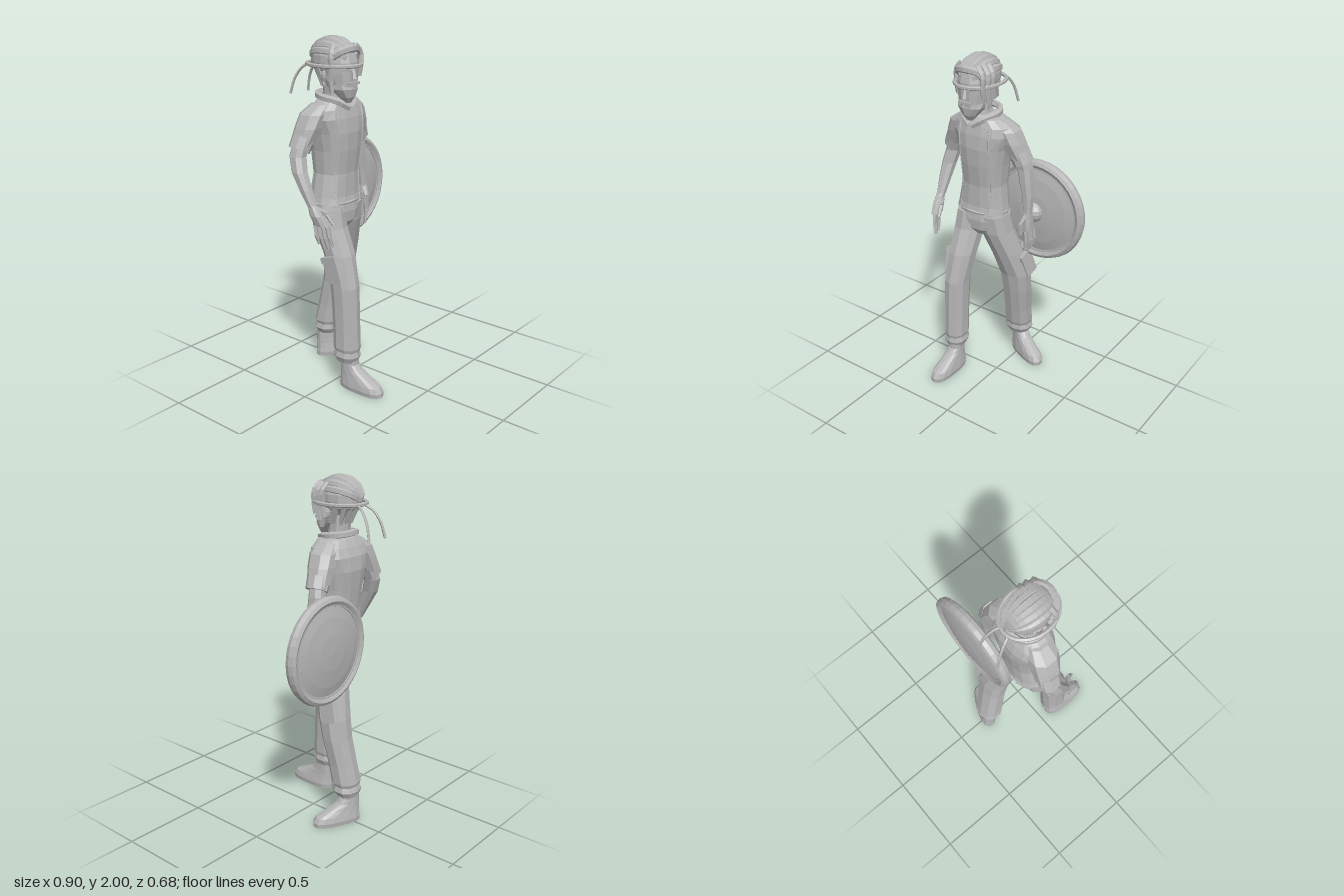
import * as THREE from 'three';

const clay = new THREE.MeshStandardMaterial({ color: 0xb6b6b6 });
clay.name = 'clay grey';
const V = (p) => new THREE.Vector3(...p);

export function createModel() {
  const model = new THREE.Group();
  model.name = 'figureWithShield';

  // Faceted mesh from any geometry
  function add(name, geo, parent = model) {
    const g = geo.index ? geo.toNonIndexed() : geo;
    g.computeVertexNormals();
    const m = new THREE.Mesh(g, clay);
    m.name = name;
    parent.add(m);
    return m;
  }

  // Closed skin over level rings [x, y, z, rx, rz]; e below 1 squares the rings
  function loft(sections, n = 8, e = 0.85) {
    const s = [...sections].sort((a, b) => a[1] - b[1]);
    const pos = [], idx = [];
    const pw = (v) => Math.sign(v) * Math.abs(v) ** e;
    for (const [x, y, z, rx, rz] of s)
      for (let i = 0; i < n; i++) {
        const a = ((i + 0.5) / n) * Math.PI * 2;
        pos.push(x + rx * pw(Math.cos(a)), y, z + rz * pw(Math.sin(a)));
      }
    const last = s.length - 1, low = s.length * n, high = low + 1;
    pos.push(...s[0].slice(0, 3), ...s[last].slice(0, 3));
    for (let i = 0; i < n; i++) {
      const j = (i + 1) % n;
      for (let k = 0; k < last; k++) {
        const b = k * n, t = b + n;
        idx.push(b + i, t + i, b + j, t + i, t + j, b + j);
      }
      idx.push(low, i, j, high, last * n + j, last * n + i);
    }
    const g = new THREE.BufferGeometry();
    g.setAttribute('position', new THREE.Float32BufferAttribute(pos, 3));
    g.setIndex(idx);
    return g;
  }

  // Tapered rod between two points
  function rod(name, a, b, ra, rb, n = 6) {
    const p = V(a), d = V(b).sub(p);
    const m = add(name, new THREE.CylinderGeometry(rb, ra, d.length(), n));
    m.position.copy(p).addScaledVector(d, 0.5);
    m.quaternion.setFromUnitVectors(new THREE.Vector3(0, 1, 0), d.normalize());
    return m;
  }
  const tube = (name, pts, r, seg = 10, n = 6, closed = false) =>
    add(name, new THREE.TubeGeometry(new THREE.CatmullRomCurve3(pts.map(V), closed), seg, r, n, closed));
  const ball = (name, p, sx, sy, sz, w = 12, h = 8) => {
    const g = new THREE.SphereGeometry(1, w, h);
    g.scale(sx, sy, sz);
    const m = add(name, g);
    m.position.set(...p);
    return m;
  };

  // Shirt
  const torso = [
    [-0.142, 1.08, -0.07, 0.16, 0.115], [-0.14, 1.12, -0.07, 0.152, 0.107],
    [-0.132, 1.25, -0.072, 0.132, 0.106], [-0.13, 1.38, -0.072, 0.142, 0.122],
    [-0.13, 1.48, -0.075, 0.16, 0.13], [-0.13, 1.56, -0.075, 0.19, 0.122],
    [-0.13, 1.61, -0.07, 0.18, 0.105], [-0.133, 1.65, -0.062, 0.125, 0.088],
    [-0.14, 1.67, -0.06, 0.07, 0.07],
  ];
  add('shirt', loft(torso, 16, 0.8));
  for (const s of [-1, 1])
    tube('shirtSeam', torso.slice(0, 7).map(([x, y, z, rx, rz]) =>
      [x + s * 0.1, y, z + rz * (1 - (0.1 / rx) ** 2.5) ** 0.4]), 0.005, 14, 4);
  tube('shirtHem', Array.from({ length: 16 }, (_, i) => {
    const a = (i / 16) * Math.PI * 2;
    return [-0.142 + 0.155 * Math.cos(a), 1.085, -0.07 + 0.112 * Math.sin(a)];
  }), 0.009, 24, 5, true);

  // Collar
  tube('collar', [[-0.15, 1.615, 0.045], [-0.215, 1.655, 0.01], [-0.235, 1.67, -0.07], [-0.2, 1.68, -0.14],
    [-0.14, 1.685, -0.16], [-0.08, 1.68, -0.14], [-0.045, 1.67, -0.07], [-0.075, 1.655, 0.01], [-0.14, 1.615, 0.045]], 0.02, 24, 5);

  // Sleeves with turned-up cuffs, mirrored about the body line
  for (const s of [-1, 1]) {
    const side = ([x, ...r]) => [-0.14 + s * x, ...r];
    add('sleeve', loft([[0.1, 1.64, -0.075, 0.05, 0.06], [0.15, 1.59, -0.085, 0.075, 0.08],
      [0.185, 1.52, -0.095, 0.07, 0.078], [0.225, 1.43, -0.11, 0.06, 0.066]].map(side)));
    const cuff = rod('sleeveCuff', side([0.215, 1.465, -0.105]), side([0.245, 1.4, -0.113]), 0.067, 0.064, 9);
    cuff.scale.x = 0.95;
  }

  // Forearms
  add('rightForearm', loft([[-0.36, 1.46, -0.105, 0.045, 0.048], [-0.392, 1.37, -0.115, 0.045, 0.048],
    [-0.408, 1.29, -0.09, 0.042, 0.046], [-0.41, 1.2, -0.045, 0.034, 0.038], [-0.408, 1.11, 0, 0.024, 0.03]]));
  add('leftForearm', loft([[0.085, 1.46, -0.105, 0.045, 0.048], [0.11, 1.37, -0.12, 0.045, 0.046],
    [0.125, 1.28, -0.115, 0.04, 0.042], [0.138, 1.2, -0.11, 0.032, 0.034], [0.142, 1.1, -0.105, 0.023, 0.028]]));

  // Hands: palm, four jointed fingers and a thumb
  function hand(name, wrist, knuckle, tip, spread, thumb) {
    add(name + 'Palm', loft([[...wrist, 0.022, 0.028],
      [wrist[0], (wrist[1] + knuckle[1]) / 2, (wrist[2] + knuckle[2]) / 2, 0.026, 0.042], [...knuckle, 0.022, 0.046]]));
    for (let i = 0; i < 4; i++) {
      const t = i - 1.5, off = V(spread).multiplyScalar(t);
      const a = V(knuckle).add(off), c = V(tip).addScaledVector(off, 1.15);
      c.y += 0.014 * Math.abs(t - 0.3);
      const b = a.clone().lerp(c, 0.5).add(new THREE.Vector3(Math.sign(wrist[0]) * 0.006, 0, 0));
      rod(name + 'Finger', a.toArray(), b.toArray(), 0.014, 0.012, 5);
      rod(name + 'Fingertip', b.toArray(), c.toArray(), 0.012, 0.007, 5);
    }
    rod(name + 'Thumb', [wrist[0], wrist[1] - 0.02, wrist[2] + 0.015], thumb[0], 0.019, 0.014, 5);
    rod(name + 'Thumb', thumb[0], thumb[1], 0.014, 0.008, 5);
  }
  hand('rightHand', [-0.408, 1.12, 0], [-0.4, 1.01, 0.055], [-0.385, 0.88, 0.075], [0.008, 0, 0.022],
    [[-0.36, 1.07, 0.06], [-0.35, 1.01, 0.1]]);
  hand('leftHand', [0.142, 1.11, -0.105], [0.148, 0.99, -0.115], [0.145, 0.845, -0.12], [-0.003, 0, 0.022],
    [[0.125, 1.04, -0.06], [0.125, 0.97, -0.055]]);

  // Trousers
  add('trouserSeat', loft([[-0.14, 1.1, -0.07, 0.148, 0.1], [-0.14, 1.03, -0.068, 0.16, 0.108],
    [-0.14, 0.97, -0.065, 0.13, 0.1], [-0.14, 0.93, -0.065, 0.05, 0.07]], 12));
  add('rightTrouserLeg', loft([[-0.215, 1.06, -0.06, 0.085, 0.095], [-0.222, 0.95, -0.04, 0.088, 0.095],
    [-0.225, 0.8, 0.03, 0.08, 0.088], [-0.235, 0.62, 0.078, 0.068, 0.084], [-0.236, 0.5, 0.085, 0.065, 0.082],
    [-0.237, 0.34, 0.092, 0.064, 0.08], [-0.238, 0.25, 0.095, 0.066, 0.08], [-0.238, 0.23, 0.095, 0.06, 0.074],
    [-0.238, 0.2, 0.095, 0.067, 0.08], [-0.238, 0.165, 0.095, 0.052, 0.064]], 10));
  add('leftTrouserLeg', loft([[-0.065, 1.06, -0.07, 0.085, 0.1], [-0.055, 0.95, -0.085, 0.092, 0.1],
    [-0.015, 0.8, -0.13, 0.092, 0.092], [0.015, 0.64, -0.175, 0.096, 0.082], [0.015, 0.52, -0.195, 0.09, 0.078],
    [0.002, 0.36, -0.228, 0.084, 0.077], [-0.006, 0.25, -0.25, 0.086, 0.078], [-0.006, 0.23, -0.252, 0.078, 0.07],
    [-0.006, 0.2, -0.256, 0.086, 0.077], [-0.006, 0.165, -0.26, 0.064, 0.062]], 10));

  // Thigh pockets with flaps
  const pocket = (name, x, y, z, tilt, roll) => {
    const g = new THREE.Group();
    g.name = name;
    add(name + 'Bag', new THREE.BoxGeometry(0.035, 0.15, 0.095), g);
    add(name + 'Flap', new THREE.BoxGeometry(0.045, 0.035, 0.105), g).position.y = 0.065;
    g.position.set(x, y, z);
    g.rotation.set(tilt, 0, roll);
    model.add(g);
  };
  pocket('rightPocket', -0.296, 0.72, 0.045, -0.3, 0.05);
  pocket('leftPocket', 0.088, 0.71, -0.19, 0.3, 0.15);

  // Shoes, drawn heel at the origin and toe toward +z
  const shoe = (name, x, z, yaw) => {
    const m = add(name, loft([[0, 0, 0.147, 0.054, 0.147], [0, 0.025, 0.147, 0.058, 0.148],
      [0, 0.055, 0.14, 0.053, 0.138], [0, 0.085, 0.108, 0.047, 0.104], [0, 0.12, 0.074, 0.043, 0.068],
      [0, 0.15, 0.062, 0.042, 0.053], [0, 0.21, 0.06, 0.042, 0.05]], 14, 0.75));
    m.position.set(x, 0, z);
    m.rotation.y = yaw;
  };
  shoe('rightShoe', -0.232, 0.05, 0);
  shoe('leftShoe', -0.065, -0.302, 1.13);

  // Neck and head
  add('neck', loft([[-0.145, 1.6, -0.065, 0.07, 0.07], [-0.15, 1.69, -0.06, 0.058, 0.06], [-0.155, 1.78, -0.06, 0.06, 0.065]], 10));
  add('face', loft([[-0.155, 1.69, 0.02, 0.045, 0.045], [-0.155, 1.73, 0, 0.075, 0.078], [-0.155, 1.8, -0.02, 0.09, 0.1],
    [-0.155, 1.86, -0.03, 0.094, 0.112], [-0.155, 1.92, -0.04, 0.088, 0.105]], 12));
  add('beard', loft([[-0.155, 1.645, 0.035, 0.018, 0.018], [-0.155, 1.675, 0.032, 0.045, 0.04],
    [-0.155, 1.72, 0.015, 0.08, 0.066], [-0.155, 1.745, 0, 0.086, 0.074]], 9));
  add('moustache', new THREE.BoxGeometry(0.08, 0.014, 0.03)).position.set(-0.155, 1.752, 0.075);
  rod('nose', [-0.155, 1.775, 0.085], [-0.155, 1.83, 0.075], 0.017, 0.008, 5);
  for (const s of [-1, 1]) {
    rod('sideburn', [-0.155 + s * 0.085, 1.71, 0], [-0.155 + s * 0.093, 1.85, -0.01], 0.014, 0.026, 5);
    ball('ear', [-0.155 + s * 0.096, 1.79, -0.045], 0.012, 0.03, 0.02, 6, 5);
    rod('brow', [-0.155 + s * 0.015, 1.822, 0.078], [-0.155 + s * 0.06, 1.828, 0.058], 0.008, 0.006, 5);
  }

  // Hair: cap, locks swept front to back, nape strands and fringe
  ball('hairCap', [-0.155, 1.875, -0.062], 0.106, 0.112, 0.136, 14, 9);
  for (let k = -3; k <= 3; k++) {
    const tilt = k * 0.36, pts = [];
    for (let i = 0; i <= 6; i++) {
      const a = 0.35 + (i / 6) * 2.75, r = Math.sin(a);
      pts.push([-0.155 + 0.096 * Math.sin(tilt) * r, 1.87 + 0.106 * Math.cos(tilt) * r, -0.062 + 0.125 * Math.cos(a)]);
    }
    tube('hairLock', pts, 0.023, 12, 6);
    rod('napeStrand', [-0.155 + k * 0.027, 1.85, -0.17 + 0.008 * k * k],
      [-0.155 + k * 0.023, 1.725 + 0.008 * (k & 1), -0.125 + 0.006 * k * k], 0.025, 0.008, 5);
  }
  tube('fringe', [[-0.255, 1.88, -0.01], [-0.22, 1.92, 0.045], [-0.155, 1.935, 0.068], [-0.09, 1.92, 0.045], [-0.055, 1.87, 0.02]], 0.022, 12, 6);
  for (const [x, z, y] of [[-0.05, 0, 1.75], [-0.06, 0.035, 1.78], [-0.045, -0.035, 1.77], [-0.258, 0, 1.77]])
    tube('sideLock', [[x < -0.2 ? x + 0.03 : x - 0.035, 1.95, z], [x, 1.91, z + 0.01], [x, 1.84, z + 0.012], [x, y, z]], 0.017, 8, 5);

  // Headband with two trailing ribbons
  tube('headband', Array.from({ length: 20 }, (_, i) => {
    const a = (i / 20) * Math.PI * 2;
    return [-0.153 + 0.13 * Math.cos(a), 1.845, -0.06 + 0.16 * Math.sin(a)];
  }), 0.011, 40, 6, true);
  for (const [x0, x1] of [[-0.18, -0.225], [-0.122, -0.08]])
    tube('headbandRibbon', [[x0, 1.842, -0.21], [x0 * 0.6 + x1 * 0.4, 1.815, -0.255],
      [x0 * 0.25 + x1 * 0.75, 1.75, -0.298], [x1, 1.665, -0.322]], 0.008, 10, 5);

  // Round shield: domed plate, heavy rim and boss
  const shield = new THREE.Group();
  shield.name = 'shield';
  const dome = [[0, -0.05], [0.1, -0.045], [0.2, -0.032], [0.29, -0.01], [0.29, 0.01], [0.2, 0.032], [0.1, 0.045], [0, 0.05]];
  add('shieldPlate', new THREE.LatheGeometry(dome.map(([r, y]) => new THREE.Vector2(r, y)), 32), shield).rotation.x = Math.PI / 2;
  add('shieldRim', new THREE.TorusGeometry(0.285, 0.026, 8, 36), shield).scale.z = 1.3;
  add('shieldInnerRim', new THREE.TorusGeometry(0.262, 0.012, 6, 36), shield).scale.z = 2.2;
  add('shieldBoss', new THREE.SphereGeometry(0.062, 12, 8), shield).position.z = 0.04;
  shield.position.set(0.14, 1.08, -0.214);
  model.add(shield);

  return model;
}
